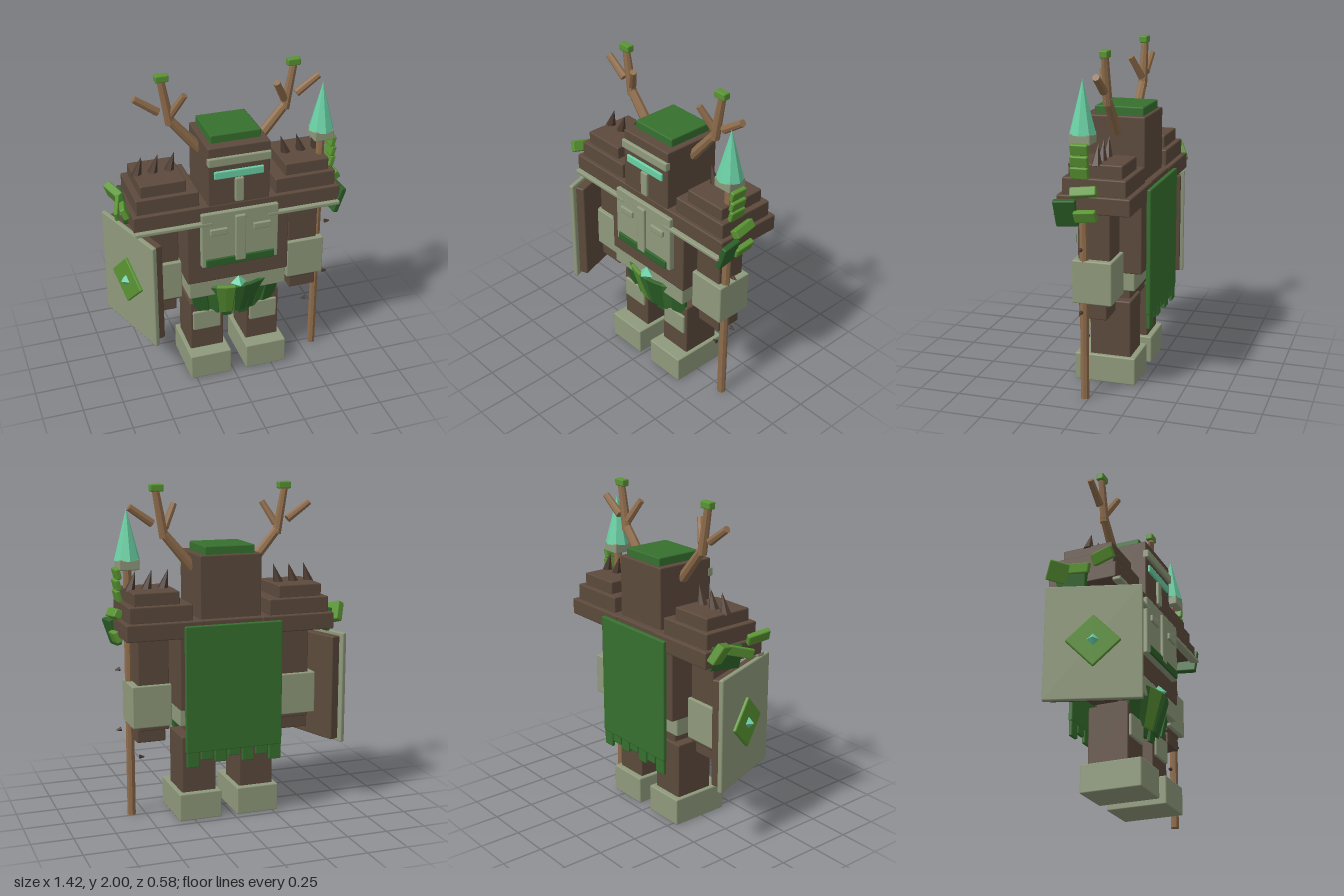
import * as THREE from 'three';
import { RoundedBoxGeometry } from 'three/addons/geometries/RoundedBoxGeometry.js';

const paint = (name, color) => {
  const m = new THREE.MeshStandardMaterial({ color });
  m.name = name;
  return m;
};

export function createModel() {
  const model = new THREE.Group();
  model.name = 'forestGuardian';
  const C = 0.03; // body centre line

  const bark = paint('bark', 0x5c4a3c);
  const thornBrown = paint('thornBrown', 0x4b3a30);
  const stone = paint('mossyStone', 0x8f9a7c);
  const wood = paint('wood', 0x8f6d4c);
  const moss = paint('moss', 0x37702f);
  const deep = paint('deepLeaf', 0x2d6229);
  const leaf = paint('brightLeaf', 0x5a9433);
  const crystal = paint('crystal', 0x6ad0a5);

  const add = (name, geo, mat, parent = model) => {
    const mesh = new THREE.Mesh(geo, mat);
    mesh.name = name;
    parent.add(mesh);
    return mesh;
  };
  const flat = (geo) => {
    const g = geo.toNonIndexed();
    g.computeVertexNormals();
    return g;
  };
  // Softly bevelled block by size and centre
  const block = (name, mat, size, pos, rot = [0, 0, 0], parent = model) => {
    const r = Math.min(0.008, Math.min(...size) * 0.3);
    const m = add(name, new RoundedBoxGeometry(...size, 1, r), mat, parent);
    m.position.set(...pos);
    m.rotation.set(...rot);
    return m;
  };
  // Block by its extents
  const span = (name, mat, x0, x1, y0, y1, z0, z1) =>
    block(name, mat, [x1 - x0, y1 - y0, z1 - z0], [(x0 + x1) / 2, (y0 + y1) / 2, (z0 + z1) / 2]);
  // Mirrored pair, x measured from the centre line
  const pair = (name, mat, x0, x1, ...rest) => {
    span(name, mat, C + x0, C + x1, ...rest);
    span(name, mat, C - x1, C - x0, ...rest);
  };
  // Faceted rod between two points
  const rod = (name, mat, a, b, ra, rb, sides = 8) => {
    const A = new THREE.Vector3(...a), B = new THREE.Vector3(...b);
    const d = B.clone().sub(A);
    const m = add(name, flat(new THREE.CylinderGeometry(rb, ra, d.length(), sides)), mat);
    m.position.copy(A).add(B).multiplyScalar(0.5);
    m.quaternion.setFromUnitVectors(new THREE.Vector3(0, 1, 0), d.normalize());
    return m;
  };

  // Legs
  pair('foot', stone, 0.05, 0.315, 0, 0.17, -0.205, 0.17);
  pair('leg', bark, 0.075, 0.29, 0.16, 0.515, -0.17, 0.08);
  pair('kneePlate', stone, 0.095, 0.275, 0.315, 0.45, 0.06, 0.095);
  span('pelvis', bark, -0.2, 0.26, 0.48, 0.61, -0.15, 0.07);

  // Torso
  span('torso', bark, -0.29, 0.35, 0.7, 1.185, -0.245, 0.145);
  span('collar', bark, -0.21, 0.27, 1.15, 1.23, -0.265, 0.155);
  span('belt', stone, -0.28, 0.34, 0.59, 0.705, -0.2, 0.14);
  span('chestPlate', stone, -0.21, 0.27, 0.825, 1.19, 0.12, 0.18);
  span('chestRidge', stone, -0.005, 0.062, 0.85, 1.16, 0.17, 0.197);
  pair('chestBar', stone, 0.08, 0.19, 1.045, 1.088, 0.17, 0.195);
  span('chestMoss', deep, -0.185, 0.245, 0.83, 0.882, 0.17, 0.192);

  // Arms
  pair('arm', bark, 0.35, 0.54, 0.56, 1.16, -0.125, 0.065);
  pair('bracer', stone, 0.34, 0.58, 0.585, 0.84, -0.145, 0.09);
  pair('hand', bark, 0.37, 0.545, 0.485, 0.6, -0.105, 0.06);

  // Stepped shoulders with trim and thorns
  pair('shoulderBase', bark, 0.18, 0.64, 1.13, 1.23, -0.27, 0.155);
  pair('shoulderTrim', stone, 0.17, 0.635, 1.11, 1.135, 0.13, 0.182);
  pair('shoulderStep', bark, 0.235, 0.615, 1.225, 1.325, -0.24, 0.13);
  pair('shoulderTop', bark, 0.305, 0.58, 1.32, 1.4, -0.21, 0.105);
  for (const s of [-1, 1])
    for (const x of [0.562, 0.465, 0.366])
      rod('shoulderThorn', thornBrown, [C + s * x, 1.385, -0.055], [C + s * (x - 0.036), 1.51, -0.055], 0.034, 0, 6);

  // Head
  span('head', bark, -0.16, 0.22, 1.2, 1.6, -0.225, 0.152);
  span('headMoss', moss, -0.125, 0.183, 1.59, 1.65, -0.205, 0.09);
  span('browBand', stone, -0.162, 0.222, 1.485, 1.54, 0.13, 0.17);
  span('eyeSlit', crystal, -0.125, 0.18, 1.4, 1.45, 0.14, 0.165);
  span('nosePlate', stone, 0.002, 0.056, 1.24, 1.395, 0.14, 0.17);

  // Antlers
  for (const s of [-1, 1]) {
    const p = (x, y, z = -0.053) => [C + s * x, y, z];
    rod('antlerBase', wood, p(0.18, 1.51), p(0.362, 1.725), 0.033, 0.027);
    rod('antlerStem', wood, p(0.35, 1.69), p(0.4, 1.97), 0.029, 0.022);
    rod('antlerOuterBranch', wood, p(0.42, 1.775), p(0.558, 1.872), 0.025, 0.021);
    rod('antlerInnerBranch', wood, p(0.345, 1.75, -0.05), p(0.275, 1.88, 0), 0.024, 0.02);
    block('antlerMoss', leaf, [0.08, 0.043, 0.048], p(0.395, 1.978));
  }

  // Skirt of overlapping leaves, curved around the belt
  const skirtMats = [moss, leaf, leaf, moss, deep, deep, moss];
  skirtMats.forEach((mat, i) => {
    const t = (i - 3) / 3;
    block('skirtLeaf', mat, [0.072, 0.24, 0.025],
      [C + t * 0.15, 0.54, 0.14 - 0.035 * t * t], [0.3, t * 0.45, -t * 0.13]);
  });
  for (const s of [-1, 1]) {
    block('skirtSideLeaf', deep, [0.1, 0.16, 0.025], [C + s * 0.225, 0.525, 0.085], [0.2, s * 0.3, -s * 0.15]);
    block('skirtLowLeaf', deep, [0.07, 0.14, 0.02], [C + s * 0.05, 0.45, 0.085], [0.15, 0, s * 0.1]);
  }
  const buckle = add('beltGem', flat(new THREE.OctahedronGeometry(0.05)), crystal);
  buckle.position.set(C, 0.662, 0.15);

  // Cape with frayed hem
  span('cape', moss, -0.27, 0.33, 0.45, 1.205, -0.293, -0.265);
  [0.36, 0.4, 0.37, 0.41, 0.38, 0.4, 0.36].forEach((y, i) => {
    const x = -0.27 + i * 0.0857;
    span('capeFringe', moss, x + 0.004, x + 0.08, y, 0.47, -0.29, -0.268);
  });

  // Shield on the right arm, local +z facing outward
  const shield = new THREE.Group();
  shield.name = 'shield';
  shield.position.set(-0.6125, 0.745, 0.025);
  shield.rotation.y = -1.239;
  model.add(shield);
  block('shieldPlate', stone, [0.55, 0.69, 0.03], [0, 0, 0], [0, 0, 0], shield);
  block('shieldBacking', bark, [0.49, 0.65, 0.06], [0, 0, -0.043], [0, 0, 0], shield);
  block('shieldDiamond', leaf, [0.222, 0.222, 0.025], [0, 0, 0.02], [0, 0, Math.PI / 4], shield);
  const gem = add('shieldGem', flat(new THREE.OctahedronGeometry(0.038)), crystal, shield);
  gem.position.z = 0.03;

  // Spear
  const sx = 0.584, sz = 0.025;
  rod('spearShaft', wood, [sx, 0, sz], [sx, 1.52, sz], 0.026, 0.026);
  block('spearCollar', stone, [0.122, 0.065, 0.122], [sx, 1.538, sz]);
  rod('spearCrystal', crystal, [sx, 1.56, sz], [sx, 1.86, sz], 0.078, 0);
  for (const [x, y, d] of [[0.65, 0.915, 1], [0.65, 0.545, 1], [0.517, 0.36, -1]])
    rod('spearThorn', thornBrown, [x - d * 0.012, y, sz], [x + d * 0.018, y - 0.004, sz], 0.013, 0.004, 6);

  // Leaves hanging by the spear and on both shoulders: material, size, centre, rotation
  for (const [mat, size, pos, rot] of [
    [leaf, [0.03, 0.065, 0.105], [0.648, 1.485, 0.025], [0, 0, -0.25]],
    [leaf, [0.03, 0.065, 0.105], [0.65, 1.42, 0.025], [0, 0, -0.25]],
    [leaf, [0.03, 0.07, 0.105], [0.646, 1.355, 0.025], [0, 0, -0.25]],
    [leaf, [0.05, 0.055, 0.15], [0.672, 1.255, -0.005], [0.1, 0.1, 0.5]],
    [leaf, [0.035, 0.07, 0.13], [0.672, 1.12, -0.015], [0.1, 0, -0.4]],
    [deep, [0.035, 0.165, 0.13], [0.665, 1.13, 0.1], [0.06, 0.1, -0.32]],
    [leaf, [0.05, 0.12, 0.13], [-0.635, 1.215, -0.19], [0.3, 0.45, 0.35]],
    [leaf, [0.035, 0.07, 0.14], [-0.645, 1.255, 0.09], [-0.15, -0.2, 0.4]],
    [leaf, [0.025, 0.06, 0.16], [-0.655, 1.2, -0.05], [0.3, -0.3, 0.2]],
    [deep, [0.035, 0.14, 0.2], [-0.607, 1.17, -0.12], [0.1, -0.1, 0.15]],
  ]) block('vineLeaf', mat, size, pos, rot);

  return model;
}
